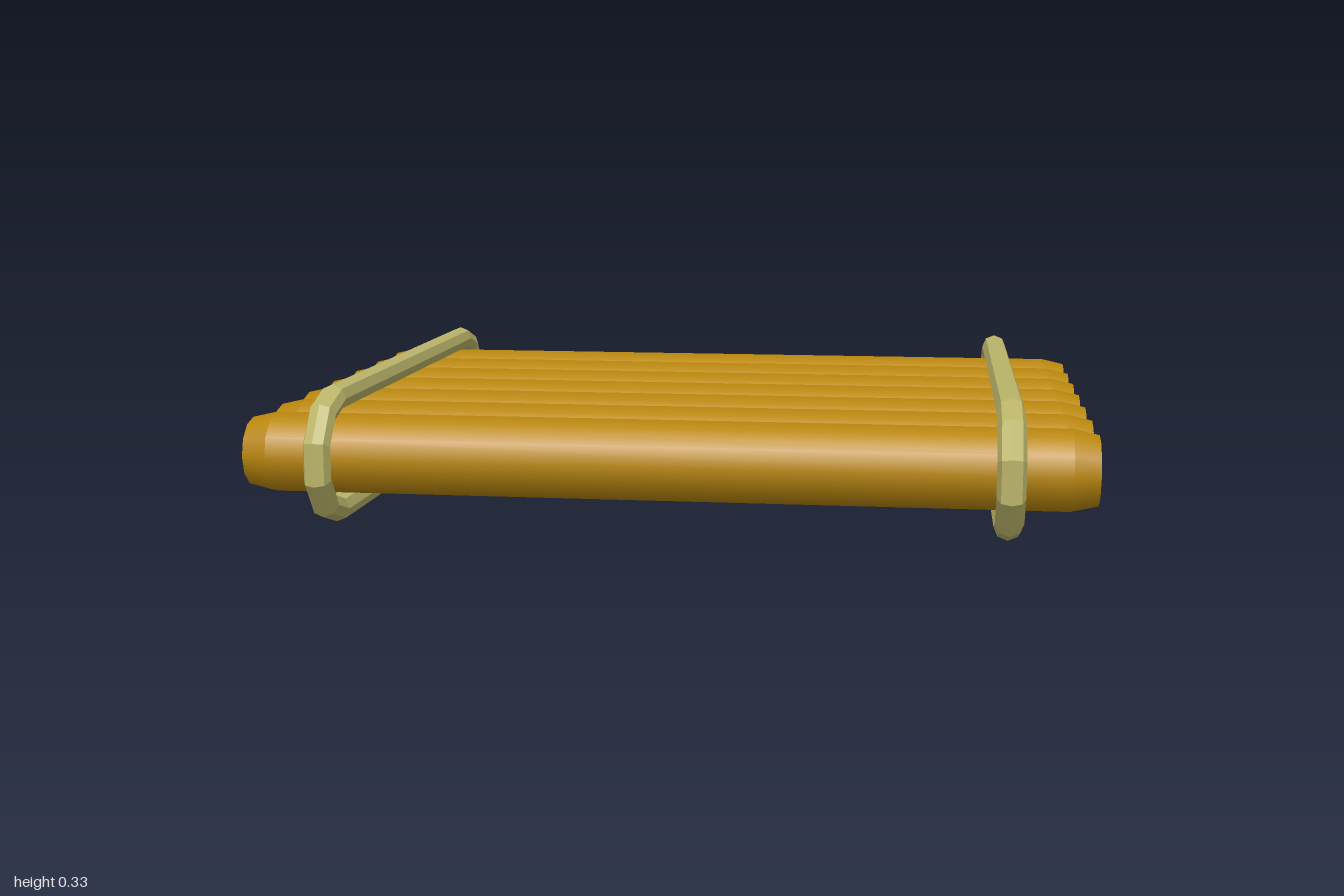
import * as THREE from 'three';
import { mergeGeometries } from 'three/addons/utils/BufferGeometryUtils.js';

const MID_Y = 0.167;
const wood = new THREE.MeshStandardMaterial({ color: 0xb8860b });
const cord = new THREE.MeshStandardMaterial({ color: 0xbdb76b, flatShading: true });

// Log along x: straight trunk with a short taper and a flat cut at each end
function logGeometry(radius, endRadius, taper, sides) {
  const body = new THREE.CylinderGeometry(radius, radius, 2 - 2 * taper, sides, 1, true);
  const parts = [body];
  for (const top of [true, false]) {
    const y = (top ? 1 : -1) * (1 - taper / 2);
    const cone = new THREE.CylinderGeometry(top ? endRadius : radius, top ? radius : endRadius, taper, sides, 1, true);
    const cap = new THREE.CircleGeometry(endRadius, sides);
    cap.rotateX(top ? -Math.PI / 2 : Math.PI / 2).translate(0, top ? 1 : -1, 0);
    parts.push(cone.translate(0, y, 0), cap);
  }
  return mergeGeometries(parts).rotateZ(-Math.PI / 2);
}

// Closed rope loop in the yz plane: two straight runs joined by faceted half turns
function ropeGeometry(halfRun, bend, radius, sides, turnSegments) {
  const positions = [], indices = [];
  const rings = 2 * (turnSegments + 1);
  for (const side of [1, -1]) {
    for (let k = 0; k <= turnSegments; k++) {
      const t = -side * Math.PI / 2 + (k / turnSegments) * Math.PI;
      for (let j = 0; j < sides; j++) {
        const a = (j / sides) * Math.PI * 2;
        const d = bend + radius * Math.cos(a);
        positions.push(radius * Math.sin(a), d * Math.sin(t), side * halfRun + d * Math.cos(t));
      }
    }
  }
  for (let i = 0; i < rings; i++) {
    for (let j = 0; j < sides; j++) {
      const i2 = ((i + 1) % rings) * sides, j2 = (j + 1) % sides, i1 = i * sides;
      indices.push(i1 + j, i1 + j2, i2 + j, i1 + j2, i2 + j2, i2 + j);
    }
  }
  const geometry = new THREE.BufferGeometry();
  geometry.setAttribute('position', new THREE.Float32BufferAttribute(positions, 3));
  geometry.setIndex(indices);
  geometry.computeVertexNormals();
  return geometry;
}

export function createModel() {
  const raft = new THREE.Group();
  raft.name = 'raft';

  // Seven logs side by side
  const logShape = logGeometry(0.097, 0.083, 0.06, 12);
  for (let i = 0; i < 7; i++) {
    const log = new THREE.Mesh(logShape, wood);
    log.name = `log${i + 1}`;
    log.position.set(0, MID_Y + 0.002, (i - 3) * 0.2);
    raft.add(log);
  }

  // Rope lashing near each end
  const ropeShape = ropeGeometry(0.6, 0.134, 0.033, 8, 5);
  for (const side of [1, -1]) {
    const rope = new THREE.Mesh(ropeShape, cord);
    rope.name = side > 0 ? 'leftRope' : 'rightRope';
    rope.position.set(side * 0.8, MID_Y, 0);
    raft.add(rope);
  }
  return raft;
}
